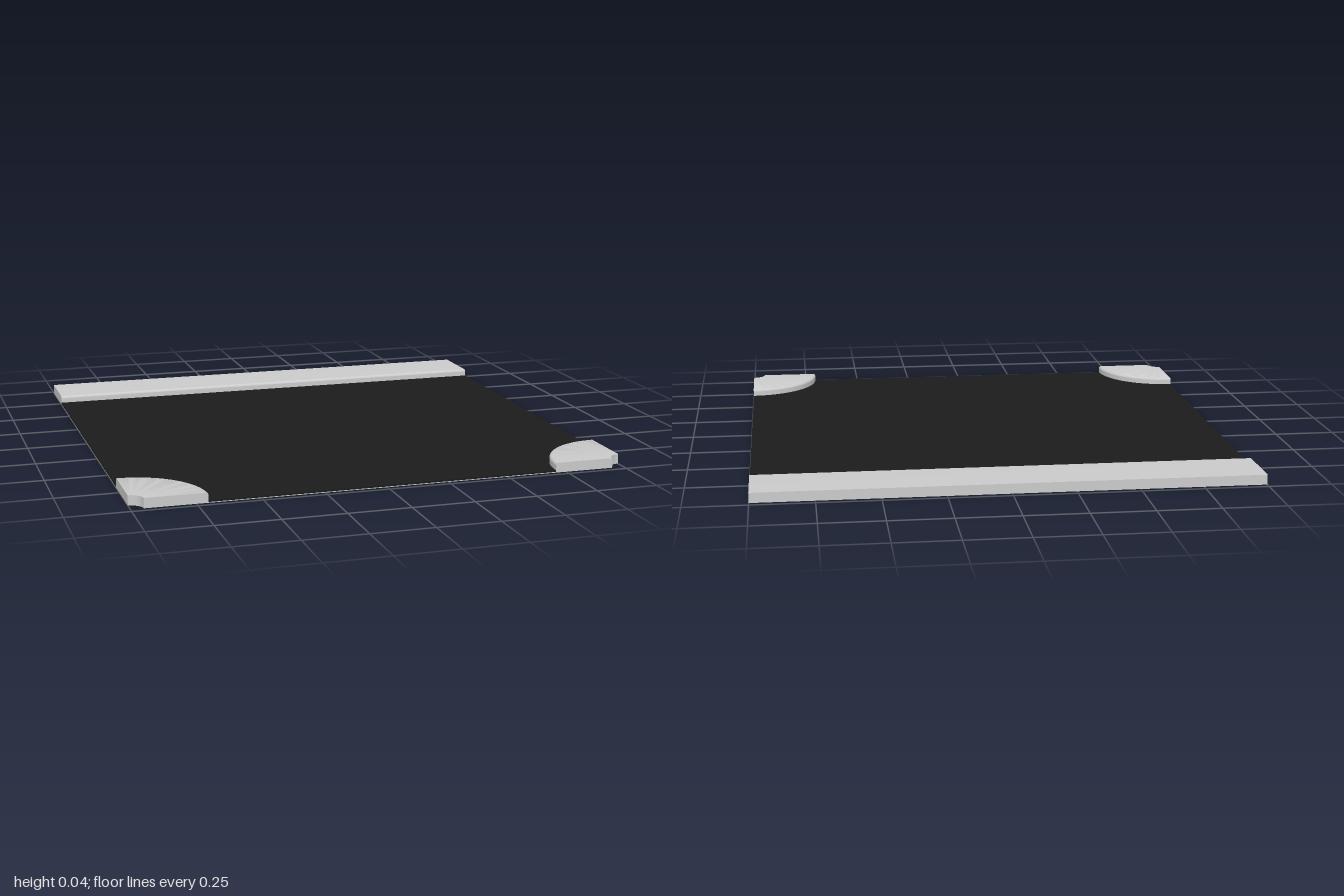
import * as THREE from 'three';
import { mergeGeometries, toCreasedNormals } from 'three/addons/utils/BufferGeometryUtils.js';

const W = 1, D = 0.975;            // half width, half depth
const TOP = 0.04, BASE = 0.003;    // raised height, underside plate thickness
const PAD_R = 0.295, NOTCH = 0.05, ROUND = 0.01;
const BAR_Z = -0.73;               // front face of the back bar

// Flat slab seen from above, with round bites out of its two front corners
function slab(zBack, bite, yLow, yHigh) {
  const s = new THREE.Shape();
  s.moveTo(-W, zBack);
  s.lineTo(W, zBack);
  s.lineTo(W, D - bite);
  s.absarc(W, D, bite, -Math.PI / 2, -Math.PI, true);
  s.lineTo(-W + bite, D);
  s.absarc(-W, D, bite, 0, -Math.PI / 2, true);
  s.closePath();
  const g = new THREE.ExtrudeGeometry(s, { depth: yHigh - yLow, bevelEnabled: false, curveSegments: 32 });
  return g.rotateX(Math.PI / 2).translate(0, yHigh, 0);
}

// Upright cross-section from a to b, its top edge rounded at b
function section(a, b) {
  const s = new THREE.Shape();
  s.moveTo(a, BASE);
  s.lineTo(b, BASE);
  s.lineTo(b, TOP - ROUND);
  s.absarc(b - ROUND, TOP - ROUND, ROUND, 0, Math.PI / 2, false);
  s.lineTo(a, TOP);
  s.closePath();
  return s;
}

// Quarter ring: section swept about the corner, closed at both ends
function cornerPad(phi) {
  const s = section(NOTCH, PAD_R);
  const ring = new THREE.LatheGeometry(s.getPoints(6), 32, phi, Math.PI / 2);
  const caps = [phi, phi + Math.PI / 2].map((a) =>
    new THREE.ShapeGeometry(s, 6).rotateY(a - Math.PI / 2).toNonIndexed());
  return mergeGeometries([toCreasedNormals(ring, 0.6), ...caps]);
}

export function createModel() {
  const group = new THREE.Group();
  const grey = new THREE.MeshStandardMaterial({ color: 0xcccccc });
  const greyDouble = new THREE.MeshStandardMaterial({ color: 0xcccccc, side: THREE.DoubleSide });
  const black = new THREE.MeshStandardMaterial({ color: 0x1c1c1c });
  const add = (name, geometry, material) => {
    const mesh = new THREE.Mesh(geometry, material);
    mesh.name = name;
    group.add(mesh);
    return mesh;
  };

  // Thin underside and the dark sheet between the raised parts
  add('undersidePlate', slab(-D, NOTCH, 0, BASE), grey);
  add('darkSheet', slab(BAR_Z, PAD_R, BASE, 0.01), black);

  // Raised bar along the back: section runs in z, extruded along x
  const bar = new THREE.ExtrudeGeometry(section(-D, BAR_Z), { depth: 2 * W, bevelEnabled: false, curveSegments: 6 });
  add('backBar', toCreasedNormals(bar.rotateY(-Math.PI / 2).translate(W, 0, 0), 0.6), grey);

  // Raised pads at the front corners
  add('leftCornerPad', cornerPad(Math.PI), greyDouble).position.set(W, 0, D);
  add('rightCornerPad', cornerPad(Math.PI / 2), greyDouble).position.set(-W, 0, D);

  return group;
}
